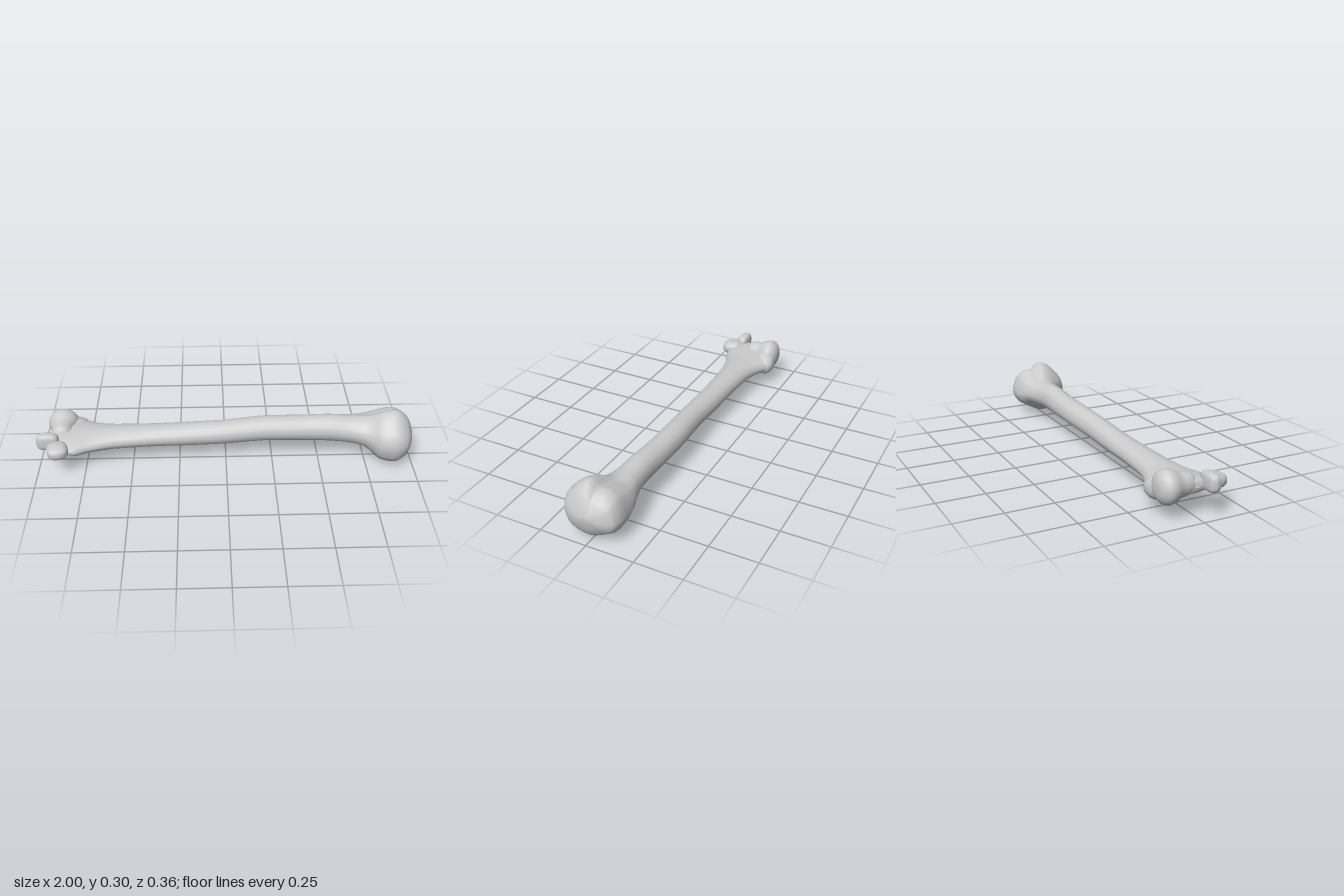
import * as THREE from 'three';

const material = new THREE.MeshStandardMaterial({ color: 0xcccccc });
const SIDES = 32;

// Outline of the upper end, as (z, y) pairs
const headOutline = [
  [0.157, 0.13], [0.142, 0.2], [0.068, 0.277], [0.012, 0.296], [-0.022, 0.262],
  [-0.072, 0.257], [-0.122, 0.222], [-0.15, 0.13], [-0.125, 0.066],
  [-0.012, 0.003], [0.042, 0.002], [0.093, 0.019], [0.136, 0.06],
];

// Cross-section extents along the bone: x, yMin, yMax, zMin, zMax
const sections = [
  [-0.93, 0.138, 0.142, -0.02, 0.02],
  [-0.92, 0.11, 0.175, -0.13, 0.09],
  [-0.87, 0.09, 0.178, -0.172, 0.12],
  [-0.80, 0.066, 0.178, -0.182, 0.125],
  [-0.75, 0.067, 0.178, -0.165, 0.103],
  [-0.69, 0.069, 0.179, -0.135, 0.083],
  [-0.60, 0.073, 0.183, -0.112, 0.063],
  [-0.40, 0.076, 0.188, -0.1, 0.046],
  [-0.20, 0.075, 0.196, -0.098, 0.04],
  [0.00, 0.08, 0.208, -0.095, 0.036],
  [0.20, 0.089, 0.223, -0.109, 0.027],
  [0.40, 0.089, 0.226, -0.106, 0.029],
  [0.55, 0.087, 0.234, -0.1, 0.037],
  [0.66, 0.08, 0.228, -0.105, 0.05],
  [0.74, 0.07, 0.235, -0.128, 0.078],
  [0.78, 0.046, 0.25, -0.14, 0.108],
  [0.82, 0.016, 0.274, -0.147, 0.143],
  [0.88, 0.001, 0.295, -0.151, 0.157],
  [0.92, 0.005, 0.287, -0.149, 0.152],
  [0.96, 0.035, 0.253, -0.135, 0.127],
  [0.985, 0.08, 0.205, -0.09, 0.08],
  [0.998, 0.125, 0.165, -0.035, 0.03],
  [1.0, 0.145, 0.146, -0.001, 0.001],
];

function mesh(name, geometry) {
  const m = new THREE.Mesh(geometry, material);
  m.name = name;
  return m;
}

// Shaft and upper end: ellipses that blend into the head outline
function shaftGeometry() {
  const ring = new THREE.CatmullRomCurve3(
    headOutline.map(([z, y]) => new THREE.Vector3(z / 0.154, (y - 0.148) / 0.147, 0)),
    true, 'catmullrom', 0.35);
  const yCurve = new THREE.CatmullRomCurve3(
    sections.map((s) => new THREE.Vector3(s[0], s[1], s[2])), false, 'catmullrom', 0.4);
  const zCurve = new THREE.CatmullRomCurve3(
    sections.map((s) => new THREE.Vector3(s[0], s[3], s[4])), false, 'catmullrom', 0.4);
  const outline = Array.from({ length: SIDES }, (_, j) => ring.getPoint(j / SIDES));
  const rows = (sections.length - 1) * 3;
  const positions = [];
  const indices = [];
  for (let i = 0; i <= rows; i++) {
    const ys = yCurve.getPoint(i / rows);
    const zs = zCurve.getPoint(i / rows);
    const blend = THREE.MathUtils.smoothstep(ys.x, 0.66, 0.84);
    for (const p of outline) {
      const a = Math.atan2(p.y, p.x);
      const u = THREE.MathUtils.lerp(Math.cos(a), p.x, blend);
      const v = THREE.MathUtils.lerp(Math.sin(a), p.y, blend);
      positions.push(ys.x,
        (ys.y + ys.z) / 2 + v * (ys.z - ys.y) / 2,
        (zs.y + zs.z) / 2 + u * (zs.z - zs.y) / 2);
    }
  }
  for (let i = 0; i < rows; i++) {
    for (let j = 0; j < SIDES; j++) {
      const k = (j + 1) % SIDES;
      const a = i * SIDES + j, b = a + SIDES, c = i * SIDES + k, d = c + SIDES;
      indices.push(a, b, c, b, d, c);
    }
  }
  const g = new THREE.BufferGeometry();
  g.setAttribute('position', new THREE.Float32BufferAttribute(positions, 3));
  g.setIndex(indices);
  g.computeVertexNormals();
  return g;
}

// Rounded lump; power below 1 makes it boxier
function lump(name, center, radii, power, tilt = [0, 0, 0]) {
  const g = new THREE.SphereGeometry(1, 20, 14);
  const p = g.attributes.position;
  const shape = (v) => Math.sign(v) * Math.abs(v) ** power;
  for (let i = 0; i < p.count; i++) {
    p.setXYZ(i, shape(p.getX(i)) * radii[0], shape(p.getY(i)) * radii[1], shape(p.getZ(i)) * radii[2]);
  }
  g.computeVertexNormals();
  const m = mesh(name, g);
  m.position.set(...center);
  m.rotation.set(...tilt);
  return m;
}

export function createModel() {
  const group = new THREE.Group();
  group.name = 'armBone';
  group.add(mesh('shaftAndHead', shaftGeometry()));

  // Grooved joint roll across the lower end
  const profile = new THREE.SplineCurve([
    [0.001, -0.182], [0.04, -0.178], [0.07, -0.16], [0.084, -0.135], [0.08, -0.105],
    [0.064, -0.07], [0.058, -0.035], [0.05, -0.005], [0.025, 0.012], [0.001, 0.015],
  ].map(([r, z]) => new THREE.Vector2(r, z)));
  const roll = mesh('jointRoll', new THREE.LatheGeometry(profile.getPoints(27), 28));
  roll.rotation.x = Math.PI / 2;
  roll.position.set(-0.876, 0.149, 0);
  group.add(roll);

  // Flare that carries the roll into the shaft
  group.add(lump('rollFlare', [-0.82, 0.125, -0.12], [0.09, 0.058, 0.06], 0.9, [0, 0.3, -0.2]));

  // Knob at the tip and the side bump beside it
  group.add(lump('tipKnob', [-0.94, 0.163, 0.065], [0.06, 0.047, 0.03], 0.65));
  group.add(lump('sideBump', [-0.885, 0.142, 0.12], [0.056, 0.037, 0.058], 0.8, [0.1, 0.25, 0]));
  return group;
}
